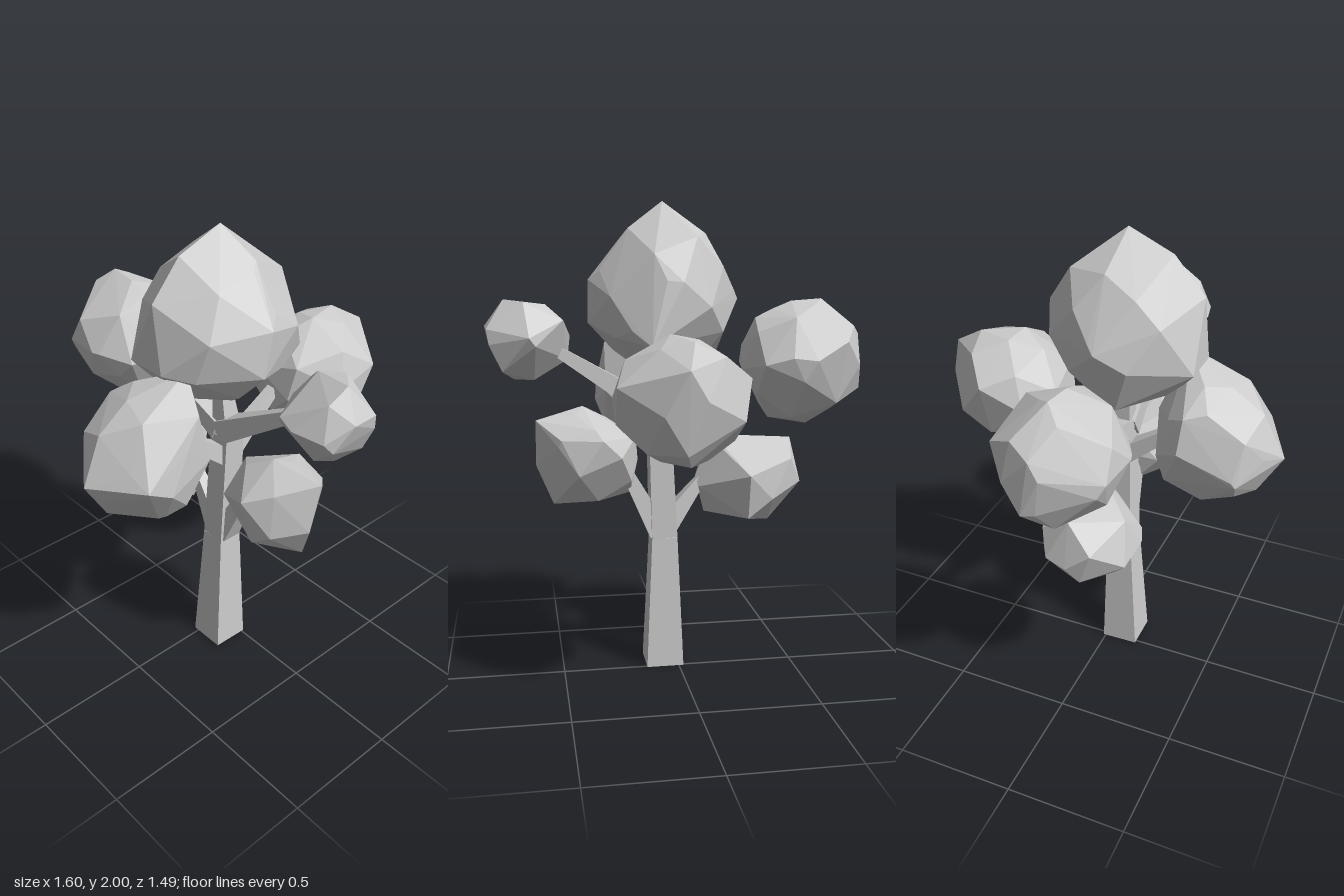
import * as THREE from 'three';
import { ConvexGeometry } from 'three/addons/geometries/ConvexGeometry.js';

const V = (p) => new THREE.Vector3(...p);
const material = new THREE.MeshStandardMaterial({ color: 0xcccccc, flatShading: true });

function seeded(seed) {
  return () => {
    seed = (seed * 16807) % 2147483647;
    return seed / 2147483647;
  };
}

// Faceted foliage clump: jittered points on a sphere, fitted to a box,
// hulled together with the corners that give the clump its outline
function clump(name, min, max, count, seed, corners) {
  const random = seeded(seed * 7919 + 13);
  const points = [];
  for (let i = 0; i < count; i++) {
    const y = 1 - (2 * (i + 0.5)) / count;
    const angle = i * 2.39996 + seed + (random() - 0.5) * 0.5;
    const r = Math.sqrt(1 - y * y);
    points.push(new THREE.Vector3(r * Math.cos(angle), y, r * Math.sin(angle))
      .multiplyScalar(0.96 + random() * 0.08));
  }
  const from = new THREE.Box3().setFromPoints(points);
  const to = new THREE.Box3(V(min), V(max));
  const scale = to.getSize(new THREE.Vector3()).divide(from.getSize(new THREE.Vector3()));
  points.forEach((p) => p.sub(from.min).multiply(scale).add(to.min));
  corners.forEach((c) => points.push(V(c)));
  const mesh = new THREE.Mesh(new ConvexGeometry(points), material);
  mesh.name = name;
  return mesh;
}

// Four-sided tapering limb from a to b; w0 and w1 are the widths at its ends
function limb(name, a, b, w0, w1) {
  const start = V(a), direction = V(b).sub(start);
  const length = direction.length();
  const geometry = new THREE.CylinderGeometry(w1 / Math.SQRT2, w0 / Math.SQRT2, length, 4);
  geometry.rotateY(Math.PI / 4);
  geometry.translate(0, length / 2, 0);
  const mesh = new THREE.Mesh(geometry, material);
  mesh.quaternion.setFromUnitVectors(new THREE.Vector3(0, 1, 0), direction.normalize());
  mesh.position.copy(start);
  mesh.name = name;
  return mesh;
}

export function createModel() {
  const tree = new THREE.Group();
  tree.name = 'tree';

  // Trunk in three stacked sections
  tree.add(
    limb('trunkBase', [0.06, 0.005, 0.07], [0.06, 0.58, 0.053], 0.16, 0.11),
    limb('trunkMiddle', [0.06, 0.58, 0.053], [0.08, 1.1, 0.04], 0.11, 0.095),
    limb('trunkTop', [0.08, 1.1, 0.04], [0.06, 1.4, 0.06], 0.09, 0.04),
  );

  // Branches reaching into each clump
  tree.add(
    limb('lowerRightBranch', [0.05, 0.62, 0.06], [-0.14, 0.87, 0.05], 0.09, 0.03),
    limb('lowerLeftBranch', [0.08, 0.6, 0.05], [0.25, 0.93, 0.05], 0.09, 0.04),
    limb('upperRightBranch', [0.06, 1.12, 0.05], [-0.34, 1.27, 0.05], 0.09, 0.03),
    limb('upperLeftBranch', [0.08, 1.12, 0.05], [0.54, 1.41, 0.05], 0.1, 0.04),
    limb('backBranch', [0.07, 1.0, 0.03], [0.06, 1.24, -0.3], 0.08, 0.03),
    limb('frontBranch', [0.07, 1.0, 0.06], [0.06, 1.22, 0.36], 0.08, 0.03),
  );

  // Foliage
  tree.add(
    clump('crown', [-0.24, 1.28, -0.25], [0.35, 1.92, 0.38], 32, 1, [
      [0.06, 2, 0.06], [0.23, 1.86, 0.05], [-0.12, 1.87, 0.04], [0.05, 1.92, 0.25],
      [0.37, 1.68, 0.08], [0.37, 1.5, 0.12], [-0.26, 1.6, 0.05], [-0.16, 1.33, 0.1],
      [0.05, 1.77, 0.38], [0.1, 1.5, 0.39], [-0.08, 1.5, 0.39], [0.02, 1.67, -0.26],
      [0.15, 1.42, -0.29], [0.22, 1.48, -0.22]]),
    clump('frontFoliage', [-0.19, 0.92, 0.2], [0.31, 1.42, 0.68], 26, 2, [
      [0.06, 1.14, 0.74], [0.14, 1.51, 0.3], [-0.03, 1.44, 0.42], [0.28, 1.4, 0.36],
      [-0.16, 1.35, 0.38], [0.01, 0.91, 0.43], [0.22, 0.97, 0.48], [0.3, 1.18, 0.62],
      [-0.14, 1.08, 0.6], [0.05, 0.97, 0.64]]),
    clump('backFoliage', [-0.2, 1.0, -0.73], [0.32, 1.46, -0.22], 26, 3, [
      [0.1, 1.48, -0.42], [0.04, 1.46, -0.6], [0.08, 1.37, -0.745], [0.08, 1.06, -0.7],
      [0.06, 0.99, -0.42], [0.06, 1.01, -0.64], [0.05, 1.08, -0.24], [0.1, 1.39, -0.29]]),
    clump('upperRightFoliage', [-0.8, 1.07, -0.19], [-0.28, 1.58, 0.29], 26, 4, [
      [-0.63, 1.6, 0.05], [-0.5, 1.59, 0.06], [-0.34, 1.52, 0.05], [-0.8, 1.45, 0.05],
      [-0.78, 1.22, 0.06], [-0.57, 1.06, 0.05], [-0.4, 1.09, 0.05], [-0.55, 1.35, -0.2],
      [-0.34, 1.33, -0.15], [-0.31, 1.32, 0.22], [-0.48, 1.34, 0.3], [-0.66, 1.33, 0.28]]),
    clump('upperLeftFoliage', [0.46, 1.28, -0.11], [0.79, 1.59, 0.2], 10, 5, [
      [0.45, 1.45, 0.05], [0.55, 1.58, 0.03], [0.72, 1.6, 0.06], [0.8, 1.49, 0.1],
      [0.68, 1.27, 0.06], [0.6, 1.27, 0.03], [0.47, 1.38, 0.14], [0.62, 1.45, -0.12],
      [0.78, 1.42, -0.03], [0.74, 1.42, 0.19], [0.61, 1.43, 0.22]]),
    clump('lowerLeftFoliage', [0.18, 0.76, -0.13], [0.58, 1.12, 0.23], 16, 6, [
      [0.4, 1.15, 0.09], [0.6, 1.1, 0.03], [0.6, 0.9, 0.08], [0.53, 0.74, 0.04],
      [0.2, 0.78, 0.05], [0.17, 0.92, 0.05], [0.27, 1.07, 0.03], [0.38, 1.0, 0.24],
      [0.4, 0.8, 0.2], [0.33, 1.03, -0.14], [0.5, 1.03, -0.09]]),
    clump('lowerRightFoliage', [-0.53, 0.66, -0.15], [-0.09, 1.0, 0.25], 18, 7, [
      [-0.5, 1.0, 0.05], [-0.16, 1.02, 0.05], [-0.12, 0.68, 0.06], [-0.4, 0.64, 0.03],
      [-0.54, 0.8, 0.05], [-0.08, 0.84, 0.05], [-0.25, 0.8, 0.26], [-0.3, 0.71, 0.2],
      [-0.28, 0.68, -0.12], [-0.28, 0.87, -0.16]]),
  );
  return tree;
}
